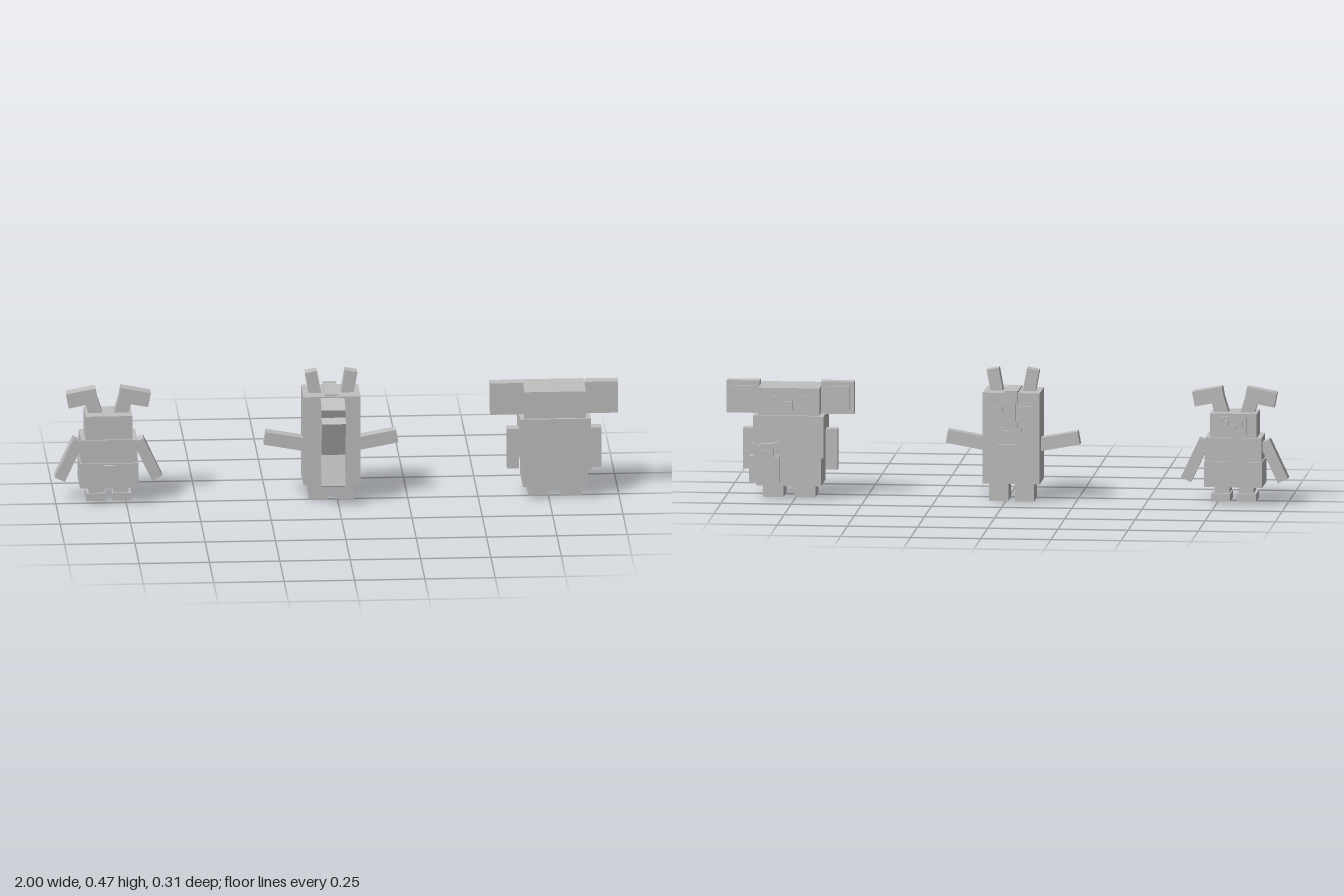
import * as THREE from 'three';

const grey = new THREE.MeshStandardMaterial({ color: 0xc0c0c0 });
grey.name = 'plain grey';

// Box from min/max extents: x, y, z ranges
function block(parent, name, x, y, z) {
  const mesh = new THREE.Mesh(new THREE.BoxGeometry(x[1] - x[0], y[1] - y[0], z[1] - z[0]), grey);
  mesh.position.set((x[0] + x[1]) / 2, (y[0] + y[1]) / 2, (z[0] + z[1]) / 2);
  mesh.name = name;
  parent.add(mesh);
  return mesh;
}

// Box centred on x = 0
const mid = (parent, name, width, y, z) => block(parent, name, [-width / 2, width / 2], y, z);

// Box from centre and size, turned about x and z
function turned(parent, name, size, centre, rx = 0, rz = 0) {
  const mesh = new THREE.Mesh(new THREE.BoxGeometry(...size), grey);
  mesh.position.set(...centre);
  mesh.rotation.set(rx, 0, rz);
  mesh.name = name;
  parent.add(mesh);
  return mesh;
}

// Mirrored pairs
function pair(parent, name, x, y, z) {
  block(parent, name + 'Left', x, y, z);
  block(parent, name + 'Right', [-x[1], -x[0]], y, z);
}
function turnedPair(parent, name, size, c, rz) {
  turned(parent, name + 'Left', size, c, 0, rz);
  turned(parent, name + 'Right', size, [-c[0], c[1], c[2]], 0, -rz);
}

function animal(name, x) {
  const group = new THREE.Group();
  group.name = name;
  group.position.x = x;
  return group;
}

function makeRabbit() {
  const g = animal('rabbit', -0.812);
  mid(g, 'skirt', 0.208, [0.064, 0.155], [-0.12, 0.033]);
  mid(g, 'torso', 0.2, [0.155, 0.24], [-0.114, 0.027]);
  mid(g, 'head', 0.166, [0.24, 0.326], [-0.105, 0.02]);
  mid(g, 'tail', 0.042, [0.11, 0.15], [0.033, 0.043]);
  // Feet: narrow ankle on a wider sole
  pair(g, 'ankle', [0.016, 0.07], [0.036, 0.066], [-0.085, 0]);
  pair(g, 'foot', [0.012, 0.08], [0.01, 0.038], [-0.1, 0.008]);
  turnedPair(g, 'arm', [0.04, 0.155, 0.05], [0.14, 0.152, -0.047], 0.44);
  // Folded ears
  turnedPair(g, 'earStem', [0.048, 0.1, 0.046], [0.053, 0.347, -0.047], -0.3);
  turnedPair(g, 'earTip', [0.108, 0.053, 0.048], [0.093, 0.381, -0.047], -0.19);
  // Face
  mid(g, 'facePlate', 0.095, [0.248, 0.315], [-0.11, -0.105]);
  pair(g, 'eye', [0.018, 0.034], [0.283, 0.302], [-0.115, -0.11]);
  mid(g, 'nose', 0.018, [0.272, 0.284], [-0.119, -0.11]);
  mid(g, 'mouth', 0.034, [0.257, 0.265], [-0.115, -0.11]);
  return g;
}

function makeSquirrel() {
  const g = animal('squirrel', -0.021);
  mid(g, 'body', 0.203, [0.064, 0.22], [-0.115, 0.04]);
  mid(g, 'head', 0.203, [0.22, 0.39], [-0.115, 0.04]);
  pair(g, 'foot', [0.012, 0.08], [0, 0.064], [-0.1, 0.005]);
  turnedPair(g, 'arm', [0.14, 0.047, 0.045], [0.166, 0.211, -0.037], 0.18);
  turnedPair(g, 'ear', [0.044, 0.1, 0.044], [0.063, 0.418, -0.035], -0.18);
  // Three-part tail
  turned(g, 'tailBase', [0.085, 0.16, 0.069], [0, 0.15, 0.065], -0.318);
  turned(g, 'tailMiddle', [0.085, 0.135, 0.069], [0, 0.272, 0.102], 0.35);
  turned(g, 'tailTip', [0.085, 0.062, 0.073], [0, 0.351, 0.087], 0.36);
  // Stripe over the crown and down the brow
  mid(g, 'crownStripe', 0.048, [0.39, 0.397], [-0.115, 0.033]);
  mid(g, 'browStripe', 0.048, [0.352, 0.399], [-0.125, -0.115]);
  // Face and belly
  pair(g, 'brow', [0.03, 0.078], [0.326, 0.342], [-0.122, -0.115]);
  pair(g, 'eye', [0.036, 0.058], [0.3, 0.326], [-0.121, -0.115]);
  mid(g, 'snout', 0.03, [0.275, 0.352], [-0.124, -0.115]);
  mid(g, 'nose', 0.046, [0.27, 0.29], [-0.132, -0.115]);
  mid(g, 'mouth', 0.075, [0.243, 0.255], [-0.124, -0.115]);
  pair(g, 'mouthCorner', [0.027, 0.038], [0.255, 0.266], [-0.124, -0.115]);
  mid(g, 'bellyPatch', 0.13, [0.085, 0.205], [-0.122, -0.115]);
  return g;
}

function makeKoala() {
  const g = animal('koala', 0.772);
  mid(g, 'head', 0.218, [0.298, 0.396], [-0.115, 0.046]);
  mid(g, 'torso', 0.252, [0.147, 0.298], [-0.127, 0.057]);
  mid(g, 'hips', 0.23, [0.046, 0.147], [-0.12, 0.05]);
  pair(g, 'foot', [0.02, 0.094], [0.003, 0.046], [-0.1, 0.015]);
  pair(g, 'arm', [0.126, 0.168], [0.097, 0.243], [-0.057, -0.013]);
  pair(g, 'ear', [0.109, 0.227], [0.297, 0.413], [-0.057, -0.013]);
  pair(g, 'innerEar', [0.125, 0.211], [0.315, 0.396], [-0.068, -0.057]);
  // Face
  pair(g, 'eye', [0.038, 0.06], [0.348, 0.37], [-0.122, -0.115]);
  mid(g, 'nose', 0.026, [0.32, 0.35], [-0.126, -0.115]);
  // Pouch with a diagonal strap
  block(g, 'pouch', [0.03, 0.138], [0.06, 0.155], [-0.148, -0.096]);
  const strap = new THREE.Shape([[0.126, 0.15], [0.075, 0.15], [-0.126, 0.258], [-0.126, 0.298], [-0.103, 0.298]]
    .map(([x, y]) => new THREE.Vector2(x, y)));
  const band = new THREE.Mesh(new THREE.ExtrudeGeometry(strap, { depth: 0.008, bevelEnabled: false }), grey);
  band.position.z = -0.135;
  band.name = 'strap';
  g.add(band);
  // Baby peeking from the pouch
  const baby = new THREE.Group();
  baby.name = 'baby';
  baby.position.x = 0.084;
  mid(baby, 'babyHead', 0.066, [0.155, 0.2], [-0.148, -0.1]);
  pair(baby, 'babyEar', [0.03, 0.052], [0.183, 0.203], [-0.14, -0.125]);
  pair(baby, 'babyEye', [0.013, 0.024], [0.181, 0.193], [-0.152, -0.148]);
  mid(baby, 'babyNose', 0.02, [0.16, 0.176], [-0.157, -0.148]);
  g.add(baby);
  return g;
}

export function createModel() {
  const group = new THREE.Group();
  group.name = 'blockAnimals';
  group.add(makeRabbit(), makeSquirrel(), makeKoala());
  return group;
}
